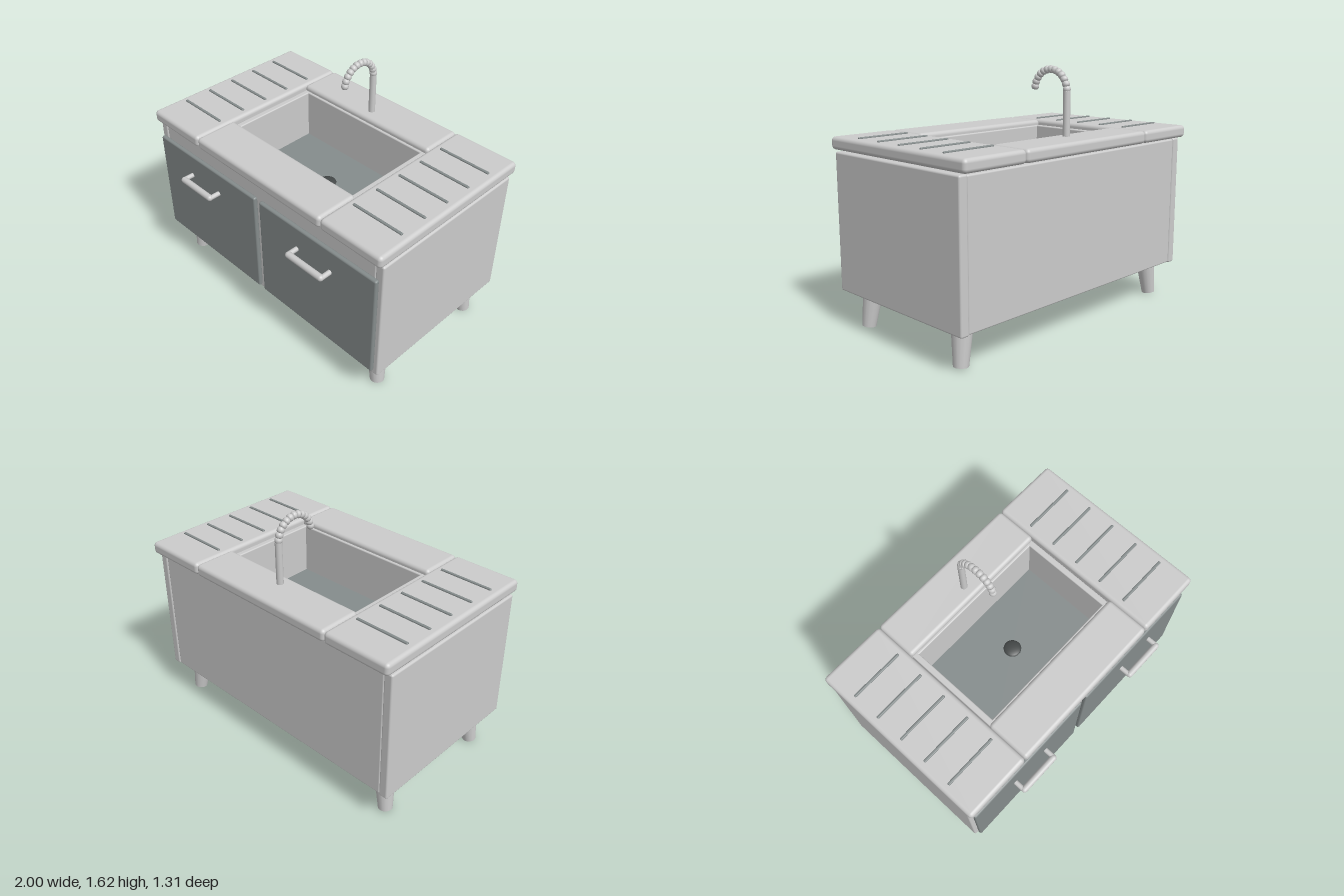
import * as THREE from 'three';
import { RoundedBoxGeometry } from 'three/addons/geometries/RoundedBoxGeometry.js';

export function createModel() {
  const model = new THREE.Group();
  model.name = 'sinkCabinet';
  const light = new THREE.MeshStandardMaterial({ color: 0xcccccc });
  const dark = new THREE.MeshStandardMaterial({ color: 0x858c8c });
  const black = new THREE.MeshStandardMaterial({ color: 0x444848 });
  const Y = new THREE.Vector3(0, 1, 0);

  function add(name, geometry, material = light, parent = model) {
    const mesh = new THREE.Mesh(geometry, material);
    mesh.name = name;
    parent.add(mesh);
    return mesh;
  }

  // Rounded box given by its minimum and maximum on each axis
  function box(name, [x0, x1], [y0, y1], [z0, z1], r, material = light, parent = model) {
    const mesh = add(name, new RoundedBoxGeometry(x1 - x0, y1 - y0, z1 - z0, 3, r), material, parent);
    mesh.position.set((x0 + x1) / 2, (y0 + y1) / 2, (z0 + z1) / 2);
    return mesh;
  }

  // Round bar between two points
  function rod(name, a, b, ra, rb, sides, parent = model) {
    const from = new THREE.Vector3(...a), to = new THREE.Vector3(...b);
    const dir = to.clone().sub(from);
    const mesh = add(name, new THREE.CylinderGeometry(rb, ra, dir.length(), sides), light, parent);
    mesh.position.copy(from).add(to).multiplyScalar(0.5);
    mesh.quaternion.setFromUnitVectors(Y, dir.normalize());
    return mesh;
  }

  // Cabinet carcass, open at the top below the basin
  box('backPanel', [-0.936, 0.936], [0.24, 1.105], [-0.603, -0.55], 0.01);
  box('frontPanel', [-0.936, 0.936], [0.24, 1.105], [0.465, 0.518], 0.01);
  box('bottomPanel', [-0.936, 0.936], [0.25, 0.3], [-0.57, 0.49], 0.01);

  // Countertop slabs in front of and behind the basin
  box('counterFront', [-0.545, 0.545], [1.12, 1.2], [0.265, 0.56], 0.025);
  box('counterBack', [-0.545, 0.545], [1.12, 1.2], [-0.655, -0.37], 0.025);

  for (const s of [-1, 1]) {
    const span = (a, b) => (s > 0 ? [a, b] : [-b, -a]);
    box('sidePanel', span(0.935, 0.995), [0.235, 1.11], [-0.607, 0.522], 0.012);
    box('counterSide', span(0.545, 1), [1.12, 1.2], [-0.655, 0.56], 0.025);
    box('door', span(0.02, 0.97), [0.28, 1.01], [0.522, 0.553], 0.012, dark);

    // Drainboard ribs
    for (let i = 0; i < 5; i++) {
      const z = -0.433 + i * 0.192;
      box('drainRib', span(0.59, 0.95), [1.19, 1.209], [z - 0.009, z + 0.009], 0.006, dark);
    }

    // Door handle
    const handle = new THREE.Group();
    handle.name = 'handle';
    model.add(handle);
    const bar = add('handleBar', new THREE.CapsuleGeometry(0.021, 0.262, 5, 14), light, handle);
    bar.rotation.z = Math.PI / 2;
    bar.position.set(s * 0.5, 0.865, 0.632);
    for (const e of [-1, 1]) {
      const x = s * 0.5 + e * 0.136;
      rod('handlePost', [x, 0.865, 0.563], [x, 0.865, 0.632], 0.016, 0.016, 14, handle);
    }

    // Splayed tapered legs
    for (const [zTop, zFoot] of [[0.37, 0.39], [-0.46, -0.478]]) {
      rod('leg', [s * 0.888, 0.009, zFoot], [s * 0.858, 0.262, zTop], 0.045, 0.066, 16);
    }

    box('basinSideWall', span(0.497, 0.537), [0.8, 1.165], [-0.38, 0.295], 0.008);
  }

  // Basin
  box('basinBackWall', [-0.53, 0.53], [0.8, 1.165], [-0.392, -0.355], 0.008);
  box('basinFrontWall', [-0.53, 0.53], [0.8, 1.165], [0.25, 0.3], 0.008);
  box('basinFloor', [-0.52, 0.52], [0.79, 0.83], [-0.38, 0.28], 0.008, dark);
  const drain = add('drain', new THREE.SphereGeometry(0.058, 24, 12), black);
  drain.scale.y = 0.3;
  drain.position.set(0, 0.83, -0.05);

  // Faucet: straight pipe, then beads along a half circle
  const faucet = new THREE.Group();
  faucet.name = 'faucet';
  model.add(faucet);
  const R = 0.13, cy = 1.467, cz = -0.325, beads = 13;
  rod('faucetPipe', [0, 1.18, cz - R], [0, cy + 0.005, cz - R], 0.022, 0.022, 18, faucet);
  const h = (Math.PI * R) / beads / 2 + 0.002;
  const profile = [[0, -h], [0.017, -h], [0.0225, -h * 0.5], [0.024, 0], [0.0225, h * 0.5], [0.017, h], [0, h]];
  const beadGeometry = new THREE.LatheGeometry(profile.map(p => new THREE.Vector2(...p)), 16);
  for (let i = 0; i < beads; i++) {
    const a = ((i + 0.5) / beads) * Math.PI * 0.985;
    const bead = add('faucetBead', beadGeometry, light, faucet);
    bead.position.set(0, cy + R * Math.sin(a), cz - R * Math.cos(a));
    bead.rotation.x = a;
  }
  return model;
}
